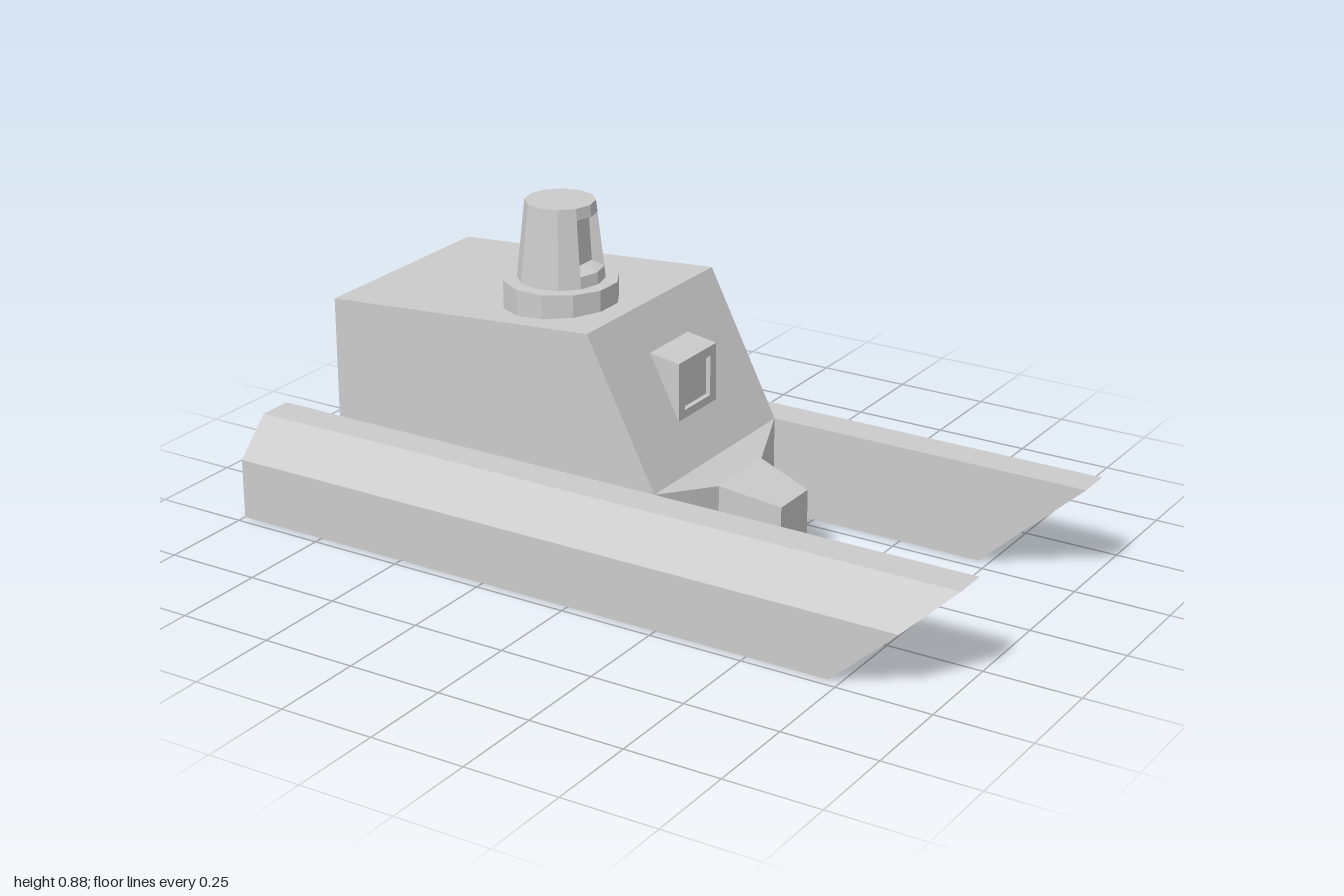
import * as THREE from 'three';

const material = new THREE.MeshStandardMaterial({ color: 0xcccccc, flatShading: true });

function part(name, geometry) {
  const mesh = new THREE.Mesh(geometry, material);
  mesh.name = name;
  return mesh;
}

// Skins a list of cross-sections (equal point counts) and closes the ends.
function loft(sections, capStart = true) {
  const pos = [];
  const tri = (...pts) => pts.forEach((p) => pos.push(...p));
  const n = sections[0].length;
  for (let s = 0; s < sections.length - 1; s++) {
    for (let i = 0; i < n; i++) {
      const j = (i + 1) % n;
      const [a, b, c, d] = [sections[s][i], sections[s][j], sections[s + 1][j], sections[s + 1][i]];
      tri(a, b, c);
      tri(a, c, d);
    }
  }
  const first = sections[0], last = sections[sections.length - 1];
  for (let i = 1; i < n - 1; i++) {
    tri(last[0], last[i], last[i + 1]);
    if (capStart) tri(first[0], first[i + 1], first[i]);
  }
  const g = new THREE.BufferGeometry();
  g.setAttribute('position', new THREE.Float32BufferAttribute(pos, 3));
  g.computeVertexNormals();
  return g;
}

// Rectangle across the hull at a given x
const rect = (x, w, y0, y1) => [[x, y1, -w], [x, y1, w], [x, y0, w], [x, y0, -w]];

// Side pontoon with chamfered outer edge and raked front; side is +1 or -1
function pontoon(side) {
  const profile = [[0.255, 0.288], [0.255, 0.38], [0.16, 0.475], [0, 0.475], [0, 0.288]];
  if (side < 0) profile.reverse();
  const rear = profile.map(([y, z]) => [-1, y, z * side]);
  const front = profile.map(([y, z]) => [0.72 + 0.28 * y / 0.255, y, z * side]);
  return part(side > 0 ? 'leftPontoon' : 'rightPontoon', loft([rear, front]));
}

// Octagonal hatch on the rear wall
function rearHatch() {
  const h = 0.2, k = 0.15, cy = 0.29;
  const outline = [[h, -k], [h, k], [k, h], [-k, h], [-h, k], [-h, -k], [-k, -h], [k, -h]];
  return part('rearHatch', loft([-0.88, -0.82].map((x) => outline.map(([y, z]) => [x, cy + y, z]))));
}

// Framed window box standing out of the sloped front wall
function frontWindow() {
  const group = new THREE.Group();
  group.name = 'frontWindow';
  const box = (w, y0, y1, Type) => new Type()
    .moveTo(-w, y0).lineTo(w, y0).lineTo(w, y1).lineTo(-w, y1).closePath();
  const shape = box(0.088, 0.362, 0.515, THREE.Shape);
  shape.holes.push(box(0.06, 0.385, 0.49, THREE.Path));
  const g = new THREE.ExtrudeGeometry(shape, { depth: 0.083, bevelEnabled: false });
  g.rotateY(Math.PI / 2).translate(-0.008, 0, 0);
  // Lift the back of the lid so it slopes forward
  const p = g.attributes.position;
  for (let i = 0; i < p.count; i++) {
    if (p.getY(i) > 0.5 && p.getX(i) < 0) p.setY(i, 0.528);
  }
  g.computeVertexNormals();
  const pane = new THREE.PlaneGeometry(0.12, 0.105).rotateY(Math.PI / 2).translate(0.063, 0.4375, 0);
  group.add(part('windowFrame', g), part('windowPane', pane));
  return group;
}

// Tapered turret on a collar, with a recessed window facing the bow
function turret() {
  const group = new THREE.Group();
  group.name = 'turret';
  const y0 = 0.68, y1 = 0.88, w0 = 0.71, w1 = 0.85;
  const radius = (y) => THREE.MathUtils.lerp(0.11, 0.088, (y - y0) / (y1 - y0));
  const deg = Math.PI / 180;

  const collar = new THREE.CylinderGeometry(0.146, 0.146, 0.12, 12);
  collar.rotateY(15 * deg).translate(0, 0.62, 0);
  group.add(part('turretCollar', collar));

  // Open wall section between two heights
  const wall = (name, a, b, segs, start, sweep) => {
    const g = new THREE.CylinderGeometry(radius(b), radius(a), b - a, segs, 1, true, start * deg, sweep * deg);
    group.add(part(name, g.translate(0, (a + b) / 2, 0)));
  };
  wall('turretWall', y0, y1, 10, 120, 300);
  wall('turretSill', y0, w0, 2, 60, 60);
  wall('turretLintel', w1, y1, 2, 60, 60);

  const roof = new THREE.CircleGeometry(radius(y1), 12).rotateX(-Math.PI / 2).translate(0, y1, 0);
  group.add(part('turretRoof', roof));

  // Splayed recess from the curved opening to a flat pane
  const arc = (y, dir) => [-30, 0, 30].map((a) => [
    radius(y) * Math.cos(a * deg), y, dir * radius(y) * Math.sin(a * deg)]);
  const row = (y, w, dir) => [-1, 0, 1].map((k) => [0.062, y, dir * k * w]);
  const outer = [...arc(w1, 1), ...arc(w0, -1)];
  const inner = [...row(0.838, 0.033, 1), ...row(0.722, 0.044, -1)];
  group.add(part('turretWindow', loft([outer, inner], false)));

  group.position.set(-0.265, 0, 0.092);
  return group;
}

export function createModel() {
  const model = new THREE.Group();
  model.name = 'armouredBoat';

  // Cabin with rising roof and sloped front
  model.add(part('cabin', loft([
    rect(-0.825, 0.288, 0, 0.575), rect(-0.06, 0.288, 0, 0.63), rect(0.13, 0.288, 0, 0.255)])));

  // Stepped, tapering nose between the pontoons
  model.add(part('nose', loft([
    rect(0.13, 0.288, 0, 0.255), rect(0.2, 0.103, 0.03, 0.226), rect(0.355, 0.065, 0.064, 0.19)])));

  model.add(pontoon(1), pontoon(-1), rearHatch(), frontWindow(), turret());
  return model;
}
